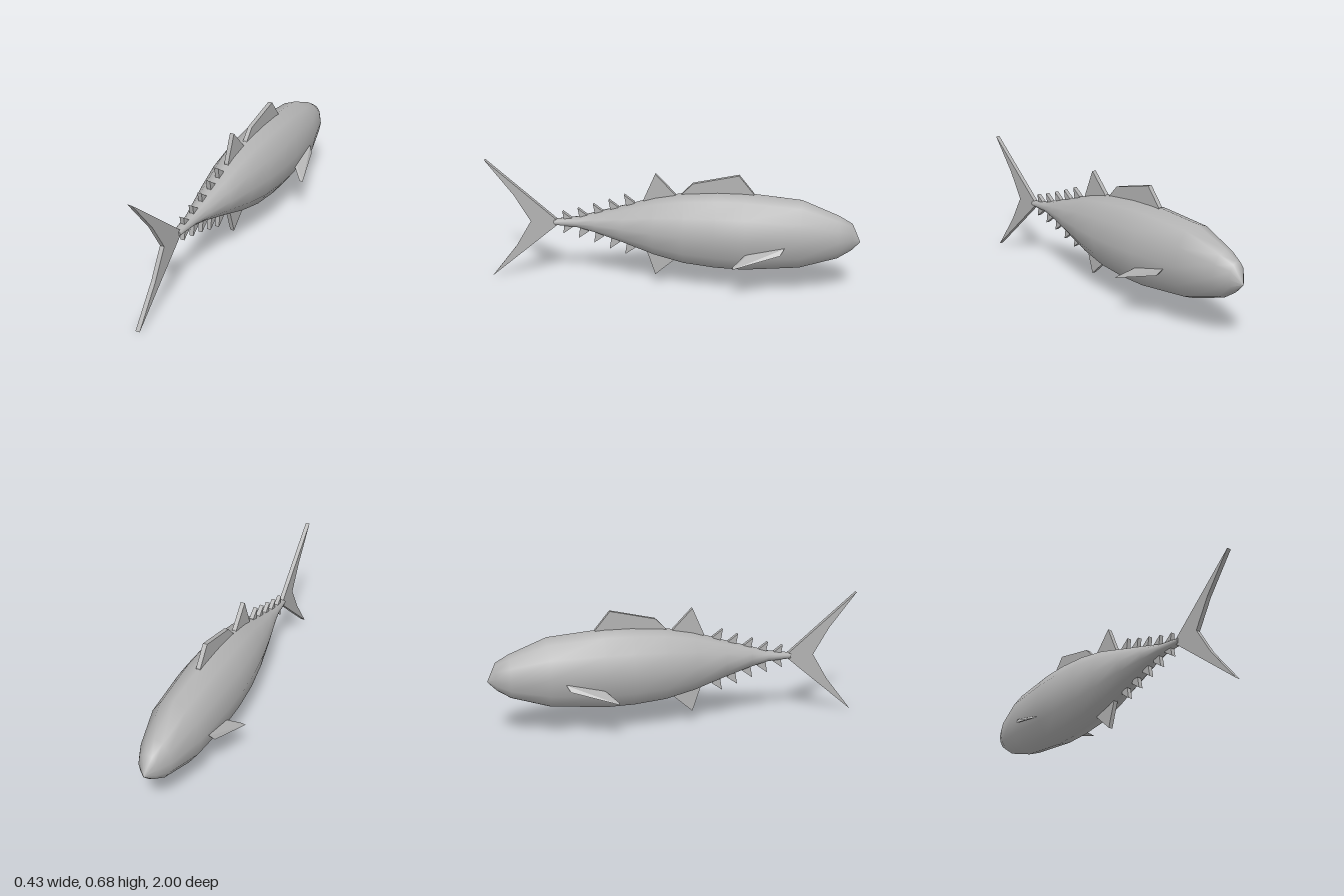
import * as THREE from 'three';
import { ConvexGeometry } from 'three/addons/geometries/ConvexGeometry.js';

const SIDES = 12;
const FIN_THICKNESS = 0.023;

// Body stations from snout to tail: z, bottom y, top y, half width
const STATIONS = [
  [-1, 0.314, 0.316, 0.001],
  [-0.955, 0.265, 0.415, 0.05],
  [-0.885, 0.218, 0.455, 0.085],
  [-0.69, 0.155, 0.533, 0.137],
  [-0.4, 0.125, 0.558, 0.155],
  [-0.25, 0.128, 0.557, 0.156],
  [-0.08, 0.145, 0.543, 0.146],
  [0.08, 0.185, 0.512, 0.125],
  [0.25, 0.246, 0.456, 0.092],
  [0.4, 0.293, 0.41, 0.056],
  [0.5, 0.317, 0.378, 0.034],
  [0.633, 0.324, 0.357, 0.021],
];

// Smooth hull lofted through the stations
function bodyGeometry() {
  const positions = [], index = [];
  STATIONS.forEach(([z, low, high, w], k) => {
    for (let i = 0; i < SIDES; i++) {
      const a = (i / SIDES) * Math.PI * 2;
      positions.push(w * Math.cos(a), (low + high) / 2 + ((high - low) / 2) * Math.sin(a), z);
      if (k === STATIONS.length - 1) continue;
      const p = k * SIDES + i, q = k * SIDES + ((i + 1) % SIDES);
      index.push(p, q, p + SIDES, q, q + SIDES, p + SIDES);
    }
  });
  const g = new THREE.BufferGeometry();
  g.setAttribute('position', new THREE.Float32BufferAttribute(positions, 3));
  g.setIndex(index);
  g.computeVertexNormals();
  return g;
}

// Upright plate from an outline of [z, y] points
function finGeometry(points) {
  const shape = new THREE.Shape(points.map(([z, y]) => new THREE.Vector2(z, y)));
  const g = new THREE.ExtrudeGeometry(shape, { depth: FIN_THICKNESS, bevelEnabled: false });
  return g.translate(0, 0, -FIN_THICKNESS / 2).rotateY(-Math.PI / 2);
}

// Swept side fin, side = 1 for left and -1 for right
function pectoralGeometry(side) {
  const outline = [
    [0.14, 0.312, -0.61],
    [0.16, 0.28, -0.59],
    [0.214, 0.212, -0.35],
    [0.147, 0.265, -0.42],
  ];
  const points = [];
  for (const [x, y, z] of outline) {
    points.push(new THREE.Vector3(side * x, y, z));
    points.push(new THREE.Vector3(side * (x - 0.019), y + 0.006, z));
  }
  return new ConvexGeometry(points);
}

export function createModel() {
  const model = new THREE.Group();
  const grey = new THREE.MeshStandardMaterial({ color: 0xb3b3b3 });
  grey.name = 'grey';

  const add = (name, geometry) => {
    const mesh = new THREE.Mesh(geometry, grey);
    mesh.name = name;
    model.add(mesh);
    return mesh;
  };

  add('body', bodyGeometry());

  // Flat end of the tail stem
  const [endZ, endLow, endHigh, endW] = STATIONS[STATIONS.length - 1];
  const cap = add('tailStemEnd', new THREE.CircleGeometry(1, SIDES));
  cap.scale.set(endW, (endHigh - endLow) / 2, 1);
  cap.position.set(0, (endLow + endHigh) / 2, endZ);

  // Crescent tail
  add('tailFin', finGeometry([
    [0.6, 0.34], [1, 0], [0.85, 0.193], [0.763, 0.34], [0.85, 0.487], [1, 0.678],
  ]));

  // Back and belly fins, rooted inside the body
  add('frontDorsalFin', finGeometry([
    [-0.06, 0.48], [-0.06, 0.535], [-0.12, 0.597], [-0.36, 0.652], [-0.44, 0.555], [-0.44, 0.48],
  ]));
  add('rearDorsalFin', finGeometry([
    [0.14, 0.44], [0.14, 0.5], [0.078, 0.642], [-0.03, 0.53], [-0.03, 0.44],
  ]));
  add('analFin', finGeometry([
    [0.135, 0.27], [0.125, 0.2], [0.08, 0.066], [-0.02, 0.155], [-0.02, 0.27],
  ]));

  // Rows of finlets leading to the tail: tip z, top tip y, bottom tip y
  const finlets = [
    [0.245, 0.517, 0.176],
    [0.33, 0.485, 0.203],
    [0.415, 0.456, 0.234],
    [0.5, 0.428, 0.256],
    [0.585, 0.405, 0.278],
  ];
  finlets.forEach(([z, top, bottom], i) => {
    for (const [name, tip, dir] of [['topFinlet', top, 1], ['bottomFinlet', bottom, -1]]) {
      add(name + (i + 1), finGeometry([
        [z, tip], [z - 0.055, tip - dir * 0.04], [z - 0.05, tip - dir * 0.06], [z - 0.01, tip - dir * 0.06],
      ]));
    }
  });

  add('leftPectoralFin', pectoralGeometry(1));
  add('rightPectoralFin', pectoralGeometry(-1));

  return model;
}
